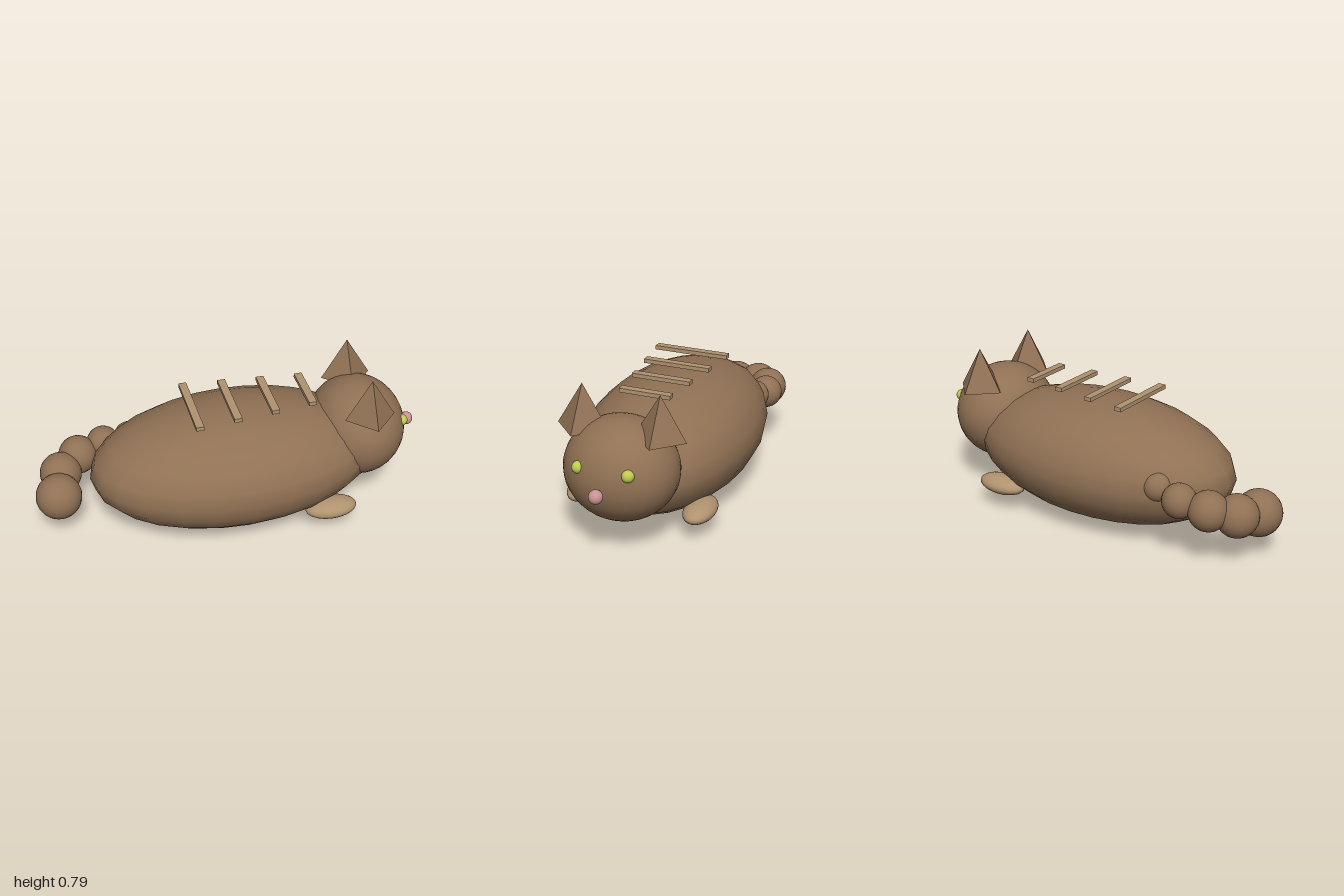
import * as THREE from 'three';

const mat = (name, color, flatShading = false) => {
  const m = new THREE.MeshStandardMaterial({ color, flatShading });
  m.name = name;
  return m;
};

export function createModel() {
  const cat = new THREE.Group();
  cat.name = 'cat';
  const fur = mat('brown fur', 0x907154);
  const tan = mat('tan fur', 0xb09370);
  const green = mat('eye green', 0xbecb52);
  const pink = mat('nose pink', 0xcc9294);

  const add = (name, geometry, material, x, y, z) => {
    const mesh = new THREE.Mesh(geometry, material);
    mesh.name = name;
    mesh.position.set(x, y, z);
    cat.add(mesh);
    return mesh;
  };
  const ellipsoid = (rx, ry, rz, w = 24, h = 16) =>
    new THREE.SphereGeometry(1, w, h).scale(rx, ry, rz);

  // Body and head
  add('body', ellipsoid(0.75, 0.31, 0.425, 24, 12), fur, 0.03, 0.31, 0);
  add('head', ellipsoid(0.25, 0.253, 0.28, 32, 24), fur, 0.68, 0.398, 0);
  add('nose', ellipsoid(0.034, 0.034, 0.034), pink, 0.964, 0.377, 0);

  // Four-sided ears with crisp facets, eyes and front paws on both sides
  const earGeometry = new THREE.ConeGeometry(0.13, 0.215, 4).toNonIndexed();
  earGeometry.computeVertexNormals();
  for (const [side, s] of [['left', 1], ['right', -1]]) {
    add(side + 'Ear', earGeometry, fur, 0.68, 0.682, 0.195 * s);
    add(side + 'Eye', ellipsoid(0.03, 0.03, 0.03), green, 0.885, 0.467, 0.124 * s);
    add(side + 'Paw', ellipsoid(0.135, 0.048, 0.077), tan, 0.46, 0.127, 0.307 * s);
  }

  // Back stripes, shortening toward the head
  for (let i = 0; i < 4; i++) {
    add('stripe' + (i + 1), new THREE.BoxGeometry(0.04, 0.021, 0.39 - i * 0.042), tan,
      -0.192 + i * 0.197, 0.661, 0);
  }

  // Curled tail of overlapping balls, growing toward the tip: x, y, z, radius
  const tail = [
    [-0.47, 0.35, -0.25, 0.077],
    [-0.605, 0.32, -0.27, 0.086],
    [-0.745, 0.293, -0.235, 0.1],
    [-0.85, 0.262, -0.145, 0.107],
    [-0.884, 0.23, 0, 0.117],
  ];
  tail.forEach(([x, y, z, r], i) => add('tailBall' + (i + 1), ellipsoid(r, r, r), fur, x, y, z));

  return cat;
}
